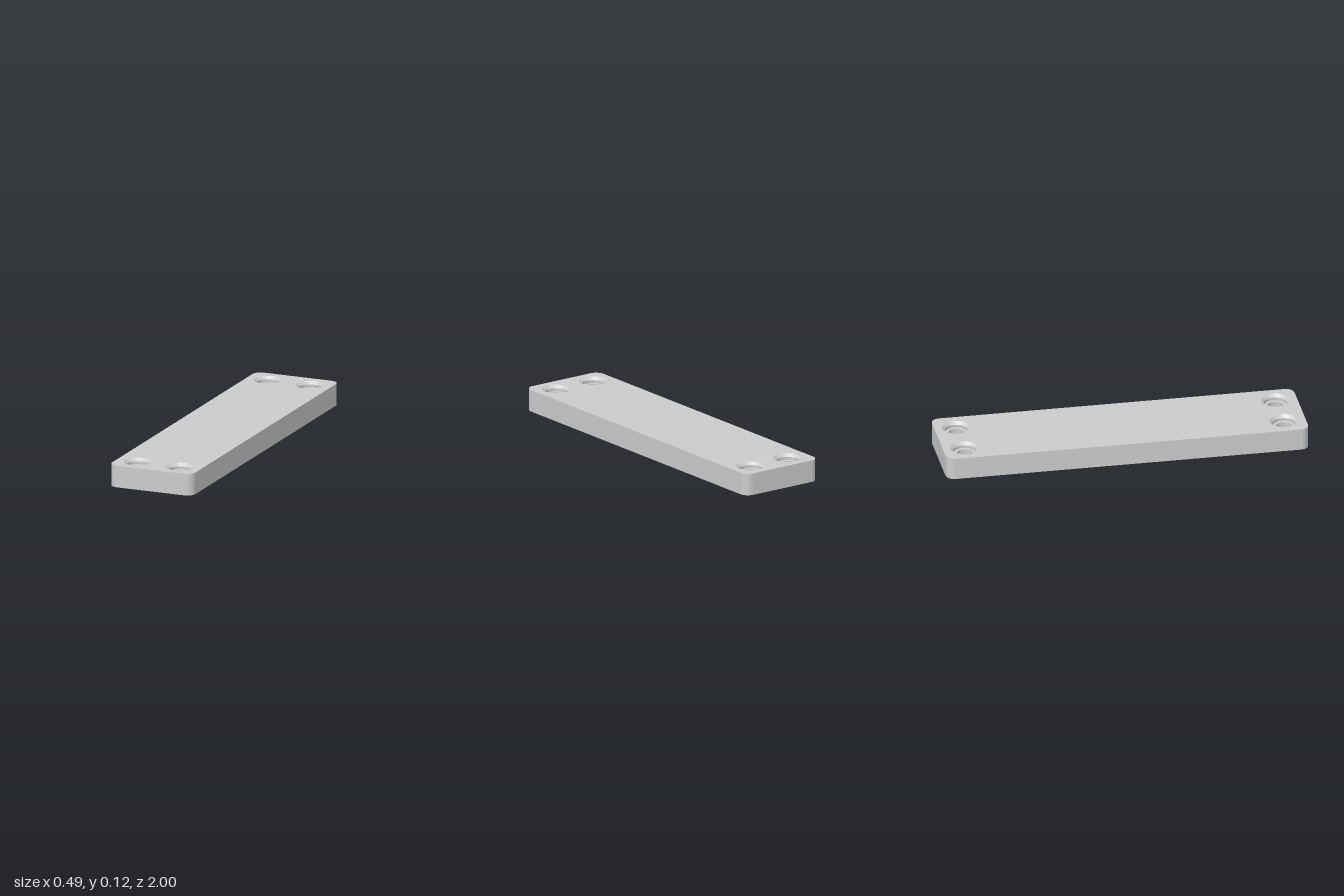
import * as THREE from 'three';
import { toCreasedNormals } from 'three/addons/utils/BufferGeometryUtils.js';

const HX = 0.247, HZ = 1, H = 0.122, CEIL = 0.1, WALL = 0.022;
const BX = 0.125, BZ = 0.88, RIB = 0.014;

function roundedRect(Type, hx, hz, r) {
  const s = new Type();
  s.absarc(hx - r, hz - r, r, 0, Math.PI / 2);
  s.absarc(-hx + r, hz - r, r, Math.PI / 2, Math.PI);
  s.absarc(-hx + r, -hz + r, r, Math.PI, Math.PI * 1.5);
  s.absarc(hx - r, -hz + r, r, Math.PI * 1.5, Math.PI * 2);
  s.closePath();
  return s;
}

export function createModel() {
  const group = new THREE.Group();
  const material = new THREE.MeshStandardMaterial({ color: 0xcccccc });

  function add(name, geometry, x = 0, y = 0, z = 0) {
    const mesh = new THREE.Mesh(geometry, material);
    mesh.name = name;
    mesh.position.set(x, y, z);
    group.add(mesh);
    return mesh;
  }
  // Extrude a plan shape upward between two heights
  function slab(name, shape, y0, y1) {
    const g = new THREE.ExtrudeGeometry(shape, { depth: y1 - y0, bevelEnabled: false, curveSegments: 24 });
    g.rotateX(-Math.PI / 2);
    add(name, toCreasedNormals(g, 0.5), 0, y0, 0);
  }
  // Box given by its extents
  function bar(name, x0, x1, y0, y1, z0, z1) {
    add(name, new THREE.BoxGeometry(x1 - x0, y1 - y0, z1 - z0), (x0 + x1) / 2, (y0 + y1) / 2, (z0 + z1) / 2);
  }

  // Top plate with four screw openings
  const plate = roundedRect(THREE.Shape, HX, HZ, 0.05);
  for (const sx of [-1, 1]) for (const sz of [-1, 1]) {
    plate.holes.push(new THREE.Path().absarc(sx * BX, sz * BZ, 0.078, 0, Math.PI * 2, true));
  }
  slab('topPlate', plate, CEIL, H);

  // Perimeter wall, open underneath
  const wall = roundedRect(THREE.Shape, HX, HZ, 0.05);
  wall.holes.push(roundedRect(THREE.Path, HX - WALL, HZ - WALL, 0.028));
  slab('perimeterWall', wall, 0, CEIL);

  // Screw bosses: flared outside, countersunk and stepped inside
  const profile = [
    [0.043, 0], [0.066, 0], [0.066, 0.055], [0.085, 0.075], [0.085, 0.101],
    [0.078, H], [0.062, 0.106], [0.062, 0.09], [0.043, 0.09], [0.043, 0],
  ].map(([x, y]) => new THREE.Vector2(x, y));
  const boss = toCreasedNormals(new THREE.LatheGeometry(profile, 48), 0.4);

  // Centre cross rib: shallow in the middle, sloping down to the long ribs
  const gusset = new THREE.Shape([
    [-BX, CEIL], [-BX, 0.045], [-0.065, 0.088], [0.065, 0.088], [BX, 0.045], [BX, CEIL],
  ].map(([x, y]) => new THREE.Vector2(x, y)));
  const gussetGeometry = new THREE.ExtrudeGeometry(gusset, { depth: RIB, bevelEnabled: false });
  gussetGeometry.translate(0, 0, -RIB / 2);

  const crossZ = [-0.625, -0.375, -0.125, 0.125, 0.375, 0.625];
  for (const z of crossZ) add('centreCrossRib', gussetGeometry, 0, 0, z);

  for (const s of [-1, 1]) {
    // Long rib joining the bosses
    bar('longRib', s * BX - RIB / 2, s * BX + RIB / 2, 0.012, CEIL, -0.82, 0.82);

    // Short ribs between the long rib and the side wall
    const mid = s * (BX + HX - WALL) / 2, half = (HX - WALL - BX) / 2;
    for (const z of crossZ) {
      bar('sideCrossRib', mid - half, mid + half, 0.025, CEIL, z - RIB / 2, z + RIB / 2);
    }

    for (const t of [-1, 1]) {
      add('screwBoss', boss, s * BX, 0, t * BZ);
      // Webs tying each boss to the walls
      const wx = s * 0.207, wz = t * 0.96;
      bar('bossSideWeb', wx - 0.02, wx + 0.02, 0.02, CEIL, t * BZ - RIB / 2, t * BZ + RIB / 2);
      bar('bossEndWeb', s * BX - RIB / 2, s * BX + RIB / 2, 0.02, CEIL, wz - 0.02, wz + 0.02);
    }
  }
  return group;
}
